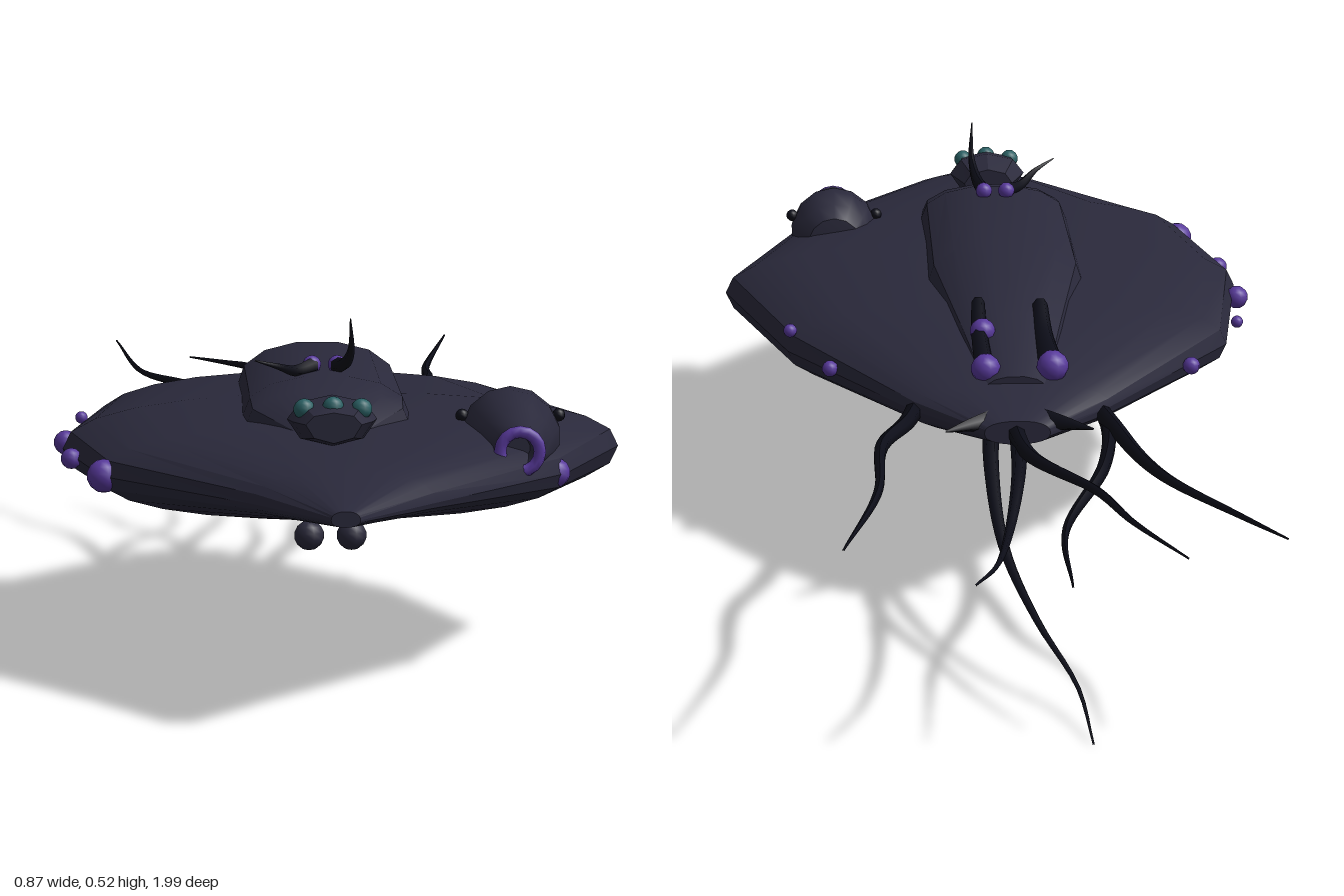
import * as THREE from 'three';
import { toCreasedNormals } from 'three/addons/utils/BufferGeometryUtils.js';

const mat = (name, color) => {
  const m = new THREE.MeshStandardMaterial({ color });
  m.name = name;
  return m;
};

// Closed skin through cross-sections [z, centreX, halfWidth, edgeY, topY, bottomY], front to back
function loft(sections, sides, power, crease) {
  const pos = [], index = [];
  for (const [z, cx, hw, mid, top, bot] of sections) {
    for (let i = 0; i < sides; i++) {
      const a = (i / sides) * Math.PI * 2, c = Math.cos(a), s = Math.sin(a);
      const y = Math.sign(s) * Math.abs(s) ** power;
      pos.push(cx + hw * Math.sign(c) * Math.abs(c) ** power, mid + y * (y > 0 ? top - mid : mid - bot), z);
    }
  }
  const last = sections.length - 1;
  for (let j = 0; j < last; j++) {
    for (let i = 0; i < sides; i++) {
      const n = (i + 1) % sides;
      const a = j * sides + i, b = j * sides + n, c = a + sides, d = b + sides;
      index.push(a, c, b, b, c, d);
    }
  }
  for (let i = 1; i < sides - 1; i++) {
    index.push(0, i, i + 1);
    index.push(last * sides, last * sides + i + 1, last * sides + i);
  }
  const g = new THREE.BufferGeometry();
  g.setAttribute('position', new THREE.Float32BufferAttribute(pos, 3));
  g.setIndex(index);
  g.computeVertexNormals();
  return toCreasedNormals(g, crease);
}

// Tube that narrows to a point
function taperedTube(points, radius, tip = 0.08, segs = 20, sides = 6) {
  const curve = new THREE.CatmullRomCurve3(points.map(p => new THREE.Vector3(...p)));
  const g = new THREE.TubeGeometry(curve, segs, radius, sides);
  const p = g.attributes.position, v = new THREE.Vector3();
  for (let i = 0; i < p.count; i++) {
    const t = Math.floor(i / (sides + 1)) / segs;
    const c = curve.getPointAt(t);
    v.fromBufferAttribute(p, i).sub(c).multiplyScalar(1 - (1 - tip) * t).add(c);
    p.setXYZ(i, v.x, v.y, v.z);
  }
  g.computeVertexNormals();
  return g;
}

export function createModel() {
  const model = new THREE.Group();
  const hullMat = mat('hull slate', 0x2a293b);
  const black = mat('tendril black', 0x0c0d18);
  const purple = mat('growth purple', 0x58399c);
  const teal = mat('eye teal', 0x2a6064);

  const add = (name, geometry, material, pos = [0, 0, 0], scale = [1, 1, 1]) => {
    const m = new THREE.Mesh(geometry, material);
    m.name = name;
    m.position.set(...pos);
    m.scale.set(...scale);
    model.add(m);
    return m;
  };
  const ball = (name, material, x, y, z, r) => add(name, new THREE.SphereGeometry(r, 10, 7), material, [x, y, z]);

  // Lens-shaped hull
  add('hull', loft([
    [1.0, -0.02, 0.02, 0.3, 0.312, 0.29],
    [0.85, -0.015, 0.128, 0.3, 0.345, 0.275],
    [0.58, -0.018, 0.34, 0.3, 0.373, 0.234],
    [0.29, 0.005, 0.428, 0.3, 0.385, 0.212],
    [-0.03, -0.023, 0.352, 0.3, 0.38, 0.226],
    [-0.31, -0.013, 0.153, 0.295, 0.335, 0.254],
    [-0.42, -0.016, 0.05, 0.293, 0.312, 0.275],
  ], 24, 0.87, 0.45), hullMat);

  // Raised spine
  add('spine', loft([
    [0.63, -0.025, 0.04, 0.355, 0.372, 0.33],
    [0.52, -0.025, 0.122, 0.365, 0.418, 0.33],
    [0.46, -0.025, 0.125, 0.372, 0.432, 0.33],
    [0.09, -0.025, 0.127, 0.37, 0.442, 0.33],
    [-0.13, -0.022, 0.085, 0.35, 0.392, 0.31],
    [-0.31, -0.02, 0.05, 0.32, 0.346, 0.3],
  ], 14, 0.9, 0.45), hullMat);

  // Sensor head with a row of eyes and a blunt jaw
  add('sensorHead', loft([
    [0.735, -0.025, 0.04, 0.395, 0.412, 0.368],
    [0.7, -0.025, 0.058, 0.395, 0.426, 0.36],
    [0.67, -0.025, 0.065, 0.395, 0.43, 0.355],
    [0.62, -0.025, 0.042, 0.39, 0.415, 0.355],
  ], 8, 1, 0.4), hullMat);
  [[-0.066, 0.413, 0.7], [-0.025, 0.417, 0.708], [0.016, 0.413, 0.7]]
    .forEach(([x, y, z]) => ball('eye', teal, x, y, z, 0.0155));

  // Side gun pod: rounded body, muzzle ring and side knobs
  const podProfile = [[0, 0], [0.045, 0.005], [0.063, 0.03], [0.075, 0.07], [0.073, 0.1], [0.055, 0.165],
    [0.039, 0.215], [0.037, 0.238], [0.024, 0.238], [0.018, 0.2], [0, 0.2]].map(p => new THREE.Vector2(...p));
  const pod = add('gunPod', toCreasedNormals(new THREE.LatheGeometry(podProfile, 14), 0.7), hullMat, [0.248, 0.343, 0.415]);
  pod.rotation.x = Math.PI / 2;
  add('muzzleRing', new THREE.TorusGeometry(0.029, 0.009, 8, 16), purple, [0.248, 0.343, 0.652]);
  for (const s of [-1, 1]) {
    ball('podKnob', black, 0.248 + s * 0.072, 0.375, 0.49, 0.01);
  }

  // Purple growths along the rim and back
  [
    [-0.355, 0.3, 0.575, 0.025], [-0.42, 0.3, 0.22, 0.019], [-0.407, 0.3, 0.395, 0.016],
    [-0.308, 0.3, -0.135, 0.014], [0.308, 0.3, 0.57, 0.022], [0.325, 0.335, -0.03, 0.011],
    [0.263, 0.305, -0.135, 0.013], [-0.4, 0.315, 0.04, 0.01],
    [-0.078, 0.352, -0.28, 0.025], [0.025, 0.35, -0.28, 0.023], [0.025, 0.378, -0.18, 0.02],
    [-0.044, 0.441, 0.395, 0.014], [-0.006, 0.441, 0.395, 0.014],
  ].forEach(([x, y, z, r]) => ball('growth', purple, x, y, z, r));

  // Dark veins on the back
  add('leftVein', taperedTube([[0.027, 0.35, -0.28], [0.03, 0.377, -0.18], [0.028, 0.4, -0.1]], 0.015, 0.7), black);
  add('rightVein', taperedTube([[-0.078, 0.35, -0.28], [-0.07, 0.37, -0.18], [-0.07, 0.395, -0.1]], 0.02, 0.6), black);

  // Forward horns
  add('leftHorn', taperedTube([[-0.006, 0.44, 0.4], [0.004, 0.448, 0.44], [0.011, 0.475, 0.49], [0.008, 0.525, 0.53]], 0.012), black);
  add('rightHorn', taperedTube([[-0.044, 0.44, 0.4], [-0.07, 0.437, 0.44], [-0.1, 0.45, 0.49], [-0.133, 0.462, 0.52]], 0.012), black);

  // Belly: twin balls, pod and a spiky star
  for (const x of [-0.056, 0.006]) ball('bellyBall', hullMat, x, 0.216, 0.612, 0.022);
  add('bellyPod', new THREE.SphereGeometry(1, 10, 7), hullMat, [-0.02, 0.232, -0.145], [0.06, 0.038, 0.08]);
  ball('bellyGrowth', purple, -0.02, 0.203, -0.12, 0.015);
  for (let i = 0; i < 3; i++) {
    const bar = add('bellySpike', new THREE.BoxGeometry(0.19, 0.004, 0.006), black, [-0.02, 0.207, 0.185]);
    bar.rotation.y = (i - 1) * 0.35;
  }

  // Small fins at the stern
  for (const s of [-1, 1]) {
    add('sternFin', taperedTube([[-0.018 + s * 0.04, 0.3, -0.38], [-0.018 + s * 0.07, 0.303, -0.405],
      [-0.018 + s * 0.112, 0.305, -0.442]], 0.018), black);
  }

  // Trailing tendrils
  [
    [[-0.14, 0.29, -0.27], [-0.165, 0.285, -0.37], [-0.195, 0.28, -0.5], [-0.23, 0.285, -0.62], [-0.31, 0.29, -0.775], [-0.358, 0.325, -0.965]],
    [[-0.15, 0.28, -0.25], [-0.16, 0.275, -0.33], [-0.14, 0.265, -0.5], [-0.07, 0.25, -0.71], [-0.06, 0.265, -0.98]],
    [[-0.01, 0.29, -0.36], [-0.03, 0.295, -0.53], [-0.115, 0.305, -0.71], [-0.155, 0.3, -0.82], [-0.222, 0.295, -0.955]],
    [[-0.02, 0.29, -0.36], [-0.01, 0.275, -0.55], [0.015, 0.255, -0.74], [0.04, 0.26, -0.88], [0.075, 0.275, -0.988]],
    [[0.13, 0.29, -0.27], [0.15, 0.295, -0.37], [0.19, 0.305, -0.5], [0.2, 0.305, -0.69], [0.255, 0.33, -0.99]],
    [[0.01, 0.25, -0.18], [0.02, 0.215, -0.35], [0.01, 0.155, -0.55], [-0.03, 0.1, -0.7], [-0.08, 0.045, -0.81], [-0.095, 0.003, -0.92]],
  ].forEach(path => add('tendril', taperedTube(path, 0.0145, 0.1, 28), black));

  return model;
}
